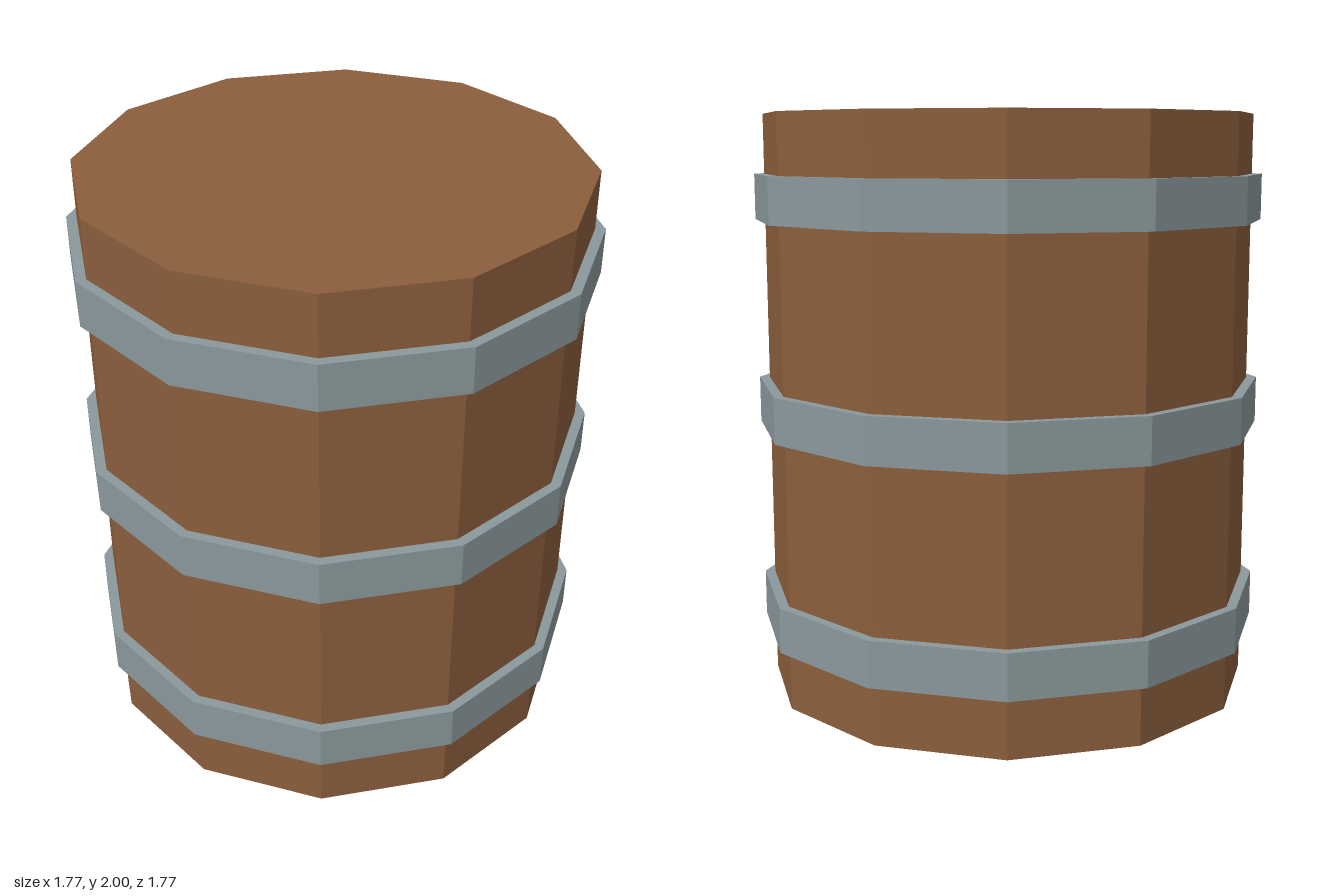
import * as THREE from 'three';

const SIDES = 12;
const BODY_R = 0.85;
const BAND_R = 0.885;
const BAND_H = 0.157;

export function createModel() {
  const barrel = new THREE.Group();
  barrel.name = 'barrel';

  const wood = new THREE.MeshStandardMaterial({ color: 0x8b5e3c, flatShading: true });
  const metal = new THREE.MeshStandardMaterial({ color: 0x8a989c, flatShading: true });

  // Straight wooden body with closed ends
  const body = new THREE.Mesh(new THREE.CylinderGeometry(BODY_R, BODY_R, 2, SIDES), wood);
  body.name = 'body';
  body.position.y = 1;
  barrel.add(body);

  // Metal hoops: a bracket-shaped profile turned around the body
  const h = BAND_H / 2;
  const profile = [[BODY_R, -h], [BAND_R, -h], [BAND_R, h], [BODY_R, h]]
    .map(([x, y]) => new THREE.Vector2(x, y));
  const hoopGeometry = new THREE.LatheGeometry(profile, SIDES);
  const hoops = { lowerHoop: 0.283, middleHoop: 1, upperHoop: 1.717 };
  for (const [name, y] of Object.entries(hoops)) {
    const hoop = new THREE.Mesh(hoopGeometry, metal);
    hoop.name = name;
    hoop.position.y = y;
    barrel.add(hoop);
  }

  return barrel;
}
